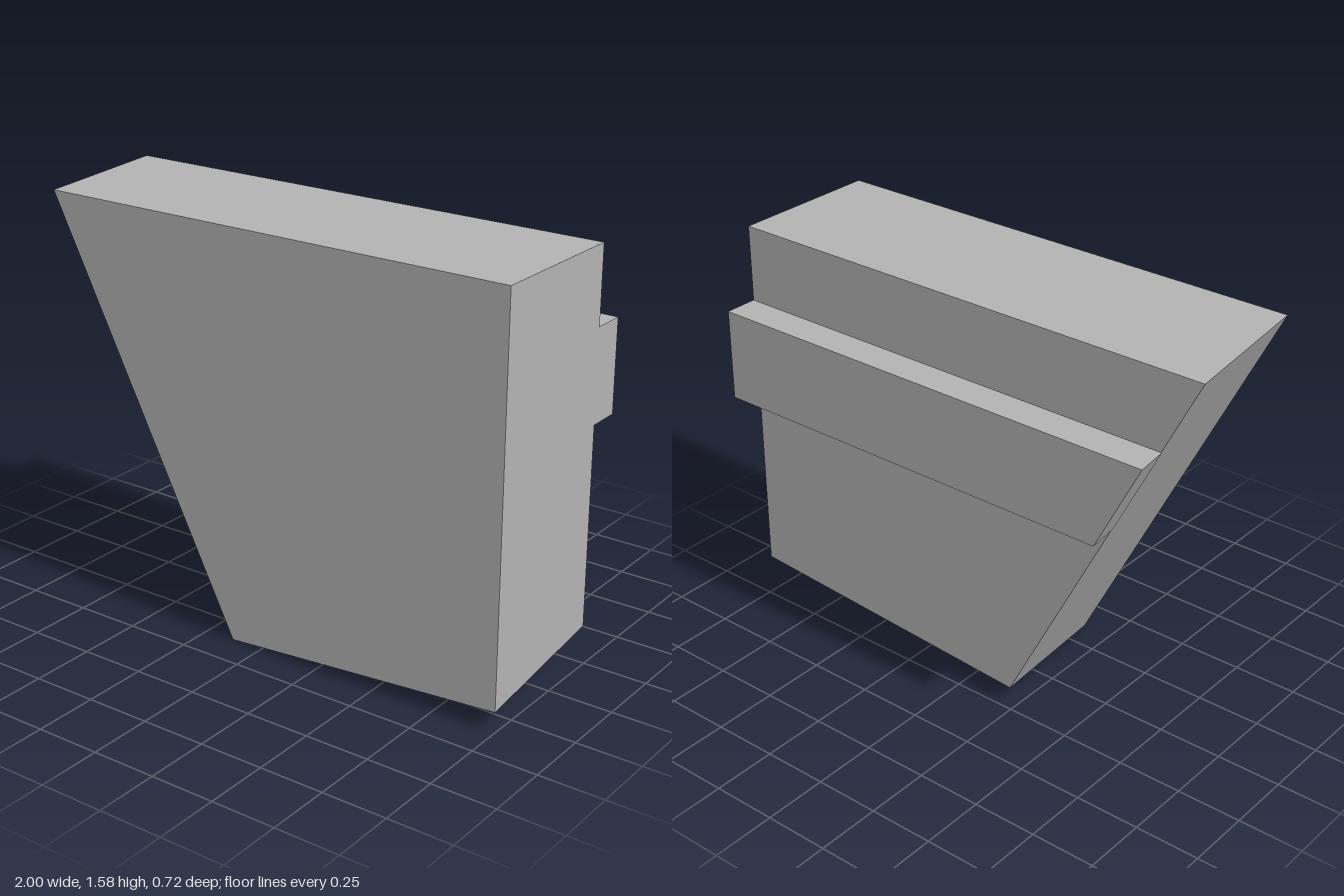
import * as THREE from 'three';

// The sloping left side and the sloping underside are planes shared by both parts.
const SLOPE = (1 + -0.23) / (1.58 - 0.077);
const sideX = (y, z) => -0.13 - (y * 0.8) / 1.58 + ((z - 0.36) * 0.069) / 0.59;
const backFootX = -0.23;

// Six-sided solid from front and back outlines, both counter-clockwise seen from the front.
function prism(name, front, back, material) {
  const [a, b, c, d] = front, [e, f, g, h] = back;
  const quads = [
    [a, b, c, d], // front
    [f, e, h, g], // back
    [b, f, g, c], // left (+x)
    [e, a, d, h], // right (-x)
    [d, c, g, h], // top
    [e, f, b, a], // bottom
  ];
  const points = quads.flatMap(([p, q, r, s]) => [p, q, r, p, r, s]).flat();
  const geometry = new THREE.BufferGeometry();
  geometry.setAttribute('position', new THREE.Float32BufferAttribute(points, 3));
  geometry.computeVertexNormals();
  const mesh = new THREE.Mesh(geometry, material);
  mesh.name = name;
  return mesh;
}

export function createModel() {
  const grey = new THREE.MeshStandardMaterial({ color: 0xb2b2b2 });
  grey.name = 'plain grey';
  const group = new THREE.Group();
  group.name = 'wedgeBlock';

  // Main block with a slanted side and a tilted underside
  group.add(prism('mainBlock',
    [[-0.13, 0, 0.36], [1, 0.08, 0.36], [1, 1.58, 0.36], [-0.93, 1.58, 0.36]],
    [[backFootX, 0.077, -0.23], [1, 0.16, -0.23], [1, 1.58, -0.23], [-1, 1.58, -0.23]],
    grey));

  // Horizontal rail along the back, cut off by the same slanted side
  const rail = (z) => [
    [sideX(0.93, z), 0.93, z], [1, 0.93, z],
    [1, 1.285, z], [sideX(0.93, z) - 0.355 * SLOPE, 1.285, z],
  ];
  group.add(prism('backRail', rail(-0.23), rail(-0.36), grey));
  return group;
}
